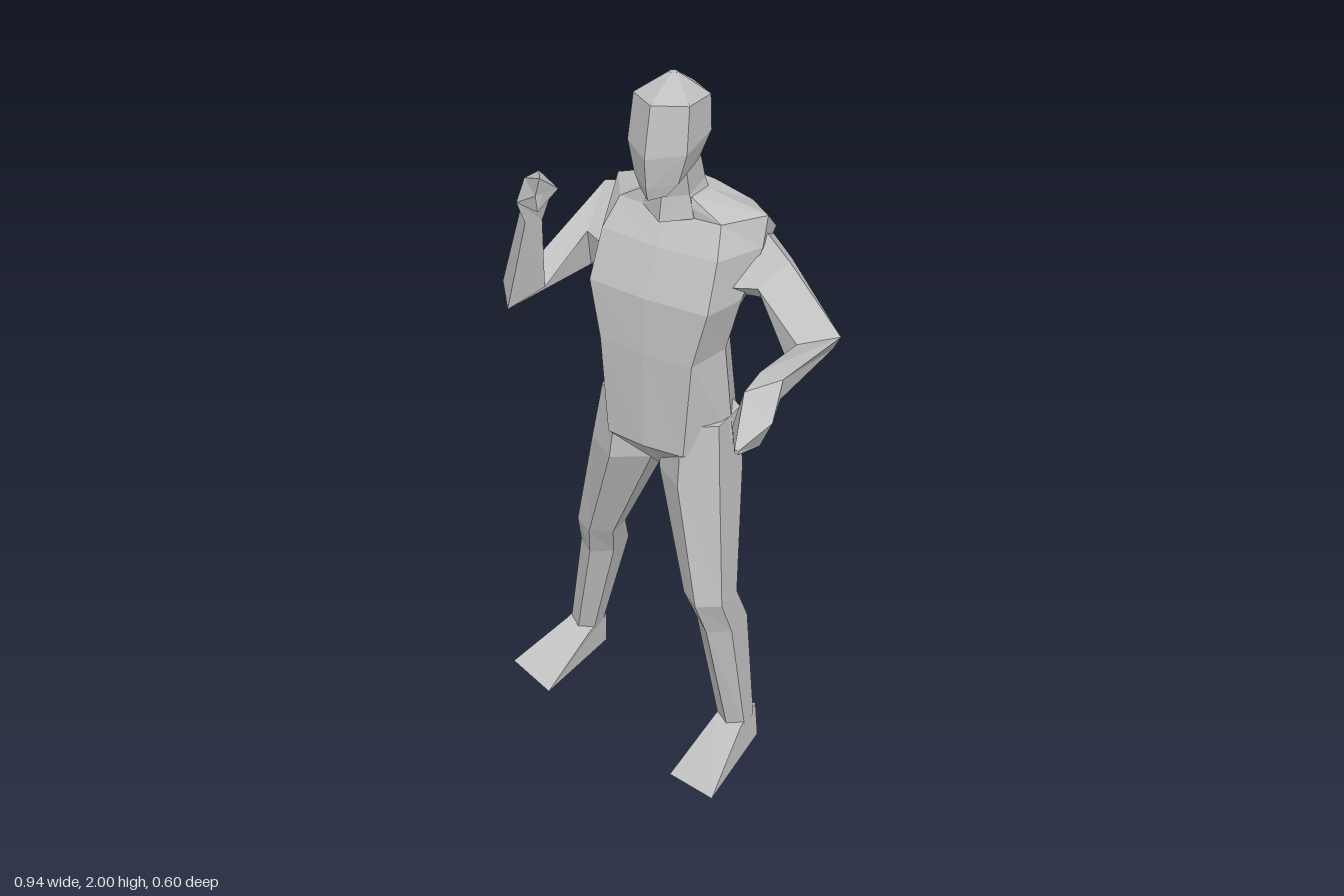
import * as THREE from 'three';

const skin = new THREE.MeshStandardMaterial({ color: 0xbfbfbf, flatShading: true });
skin.name = 'plain grey';

// Closed, faceted skin through equal-length rings of [x, y, z] points
function loft(name, rings) {
  const pos = [];
  const n = rings[0].length;
  const tri = (a, b, c) => pos.push(...a, ...b, ...c);
  for (let r = 0; r < rings.length - 1; r++) {
    for (let i = 0; i < n; i++) {
      const j = (i + 1) % n;
      const [a, b, c, d] = [rings[r][i], rings[r][j], rings[r + 1][j], rings[r + 1][i]];
      tri(a, b, c);
      tri(a, c, d);
    }
  }
  const cap = (ring, flip) => {
    const mid = [0, 1, 2].map(k => ring.reduce((s, p) => s + p[k], 0) / n);
    ring.forEach((p, i) => {
      const q = ring[(i + 1) % n];
      if (flip) tri(mid, q, p); else tri(mid, p, q);
    });
  };
  cap(rings[0], true);
  cap(rings[rings.length - 1], false);

  // turn the faces outward whatever the ring direction
  let volume = 0;
  const [a, b, c] = [new THREE.Vector3(), new THREE.Vector3(), new THREE.Vector3()];
  for (let i = 0; i < pos.length; i += 9) {
    volume += a.fromArray(pos, i).dot(b.fromArray(pos, i + 3).cross(c.fromArray(pos, i + 6)));
  }
  if (volume < 0) {
    for (let i = 0; i < pos.length; i += 9) {
      for (let k = 0; k < 3; k++) [pos[i + 3 + k], pos[i + 6 + k]] = [pos[i + 6 + k], pos[i + 3 + k]];
    }
  }
  const geo = new THREE.BufferGeometry();
  geo.setAttribute('position', new THREE.Float32BufferAttribute(pos, 3));
  geo.computeVertexNormals();
  const mesh = new THREE.Mesh(geo, skin);
  mesh.name = name;
  return mesh;
}

// Six-sided ring from its extents, with its own height at front and back
function hexRing(x0, x1, zFront, zBack, yFront, yBack = yFront) {
  return Array.from({ length: 6 }, (_, i) => {
    const t = i * Math.PI / 3;
    const f = (1 + Math.cos(t)) / 2;
    return [
      (x0 + x1) / 2 + (x1 - x0) / 2 * Math.sin(t) / 0.866,
      yBack + (yFront - yBack) * f,
      zBack + (zFront - zBack) * f,
    ];
  });
}

// Eight-sided torso ring: half widths and depths of front, sides and back
function torsoRing(y, wf, zf, ws, zs, wb, zb) {
  return [
    [wf, y, zf], [0, y, zf + 0.01], [-wf, y, zf], [-ws, y, zs],
    [-wb, y, zb], [0, y, zb - 0.01], [wb, y, zb], [ws, y, zs],
  ];
}

export function createModel() {
  const group = new THREE.Group();
  group.name = 'standingFigure';

  group.add(loft('torso', [
    torsoRing(0.95, 0.03, -0.07, 0.05, -0.12, 0.03, -0.19),
    torsoRing(1.04, 0.11, 0, 0.185, -0.12, 0.12, -0.25),
    torsoRing(1.31, 0.13, 0, 0.155, -0.12, 0.11, -0.215),
    torsoRing(1.46, 0.165, -0.01, 0.195, -0.12, 0.165, -0.255),
    torsoRing(1.58, 0.16, -0.06, 0.215, -0.18, 0.19, -0.29),
    torsoRing(1.65, 0.14, -0.11, 0.21, -0.21, 0.14, -0.26),
    torsoRing(1.70, 0.06, -0.11, 0.075, -0.17, 0.06, -0.22),
  ]));

  group.add(loft('neck', [
    hexRing(-0.07, 0.07, -0.06, -0.23, 1.64, 1.68),
    hexRing(-0.055, 0.055, -0.07, -0.215, 1.70, 1.73),
    hexRing(-0.055, 0.055, -0.06, -0.18, 1.77, 1.82),
  ]));

  group.add(loft('head', [
    hexRing(-0.035, 0.035, -0.01, -0.11, 1.72, 1.76),
    hexRing(-0.06, 0.06, -0.002, -0.18, 1.75, 1.80),
    hexRing(-0.08, 0.08, 0.005, -0.215, 1.83, 1.87),
    hexRing(-0.075, 0.075, -0.02, -0.21, 1.955, 1.945),
    hexRing(-0.01, 0.01, -0.11, -0.13, 2.0),
  ]));

  // Legs: hip, crotch, knee, calf, ankle
  group.add(loft('leftLeg', [
    hexRing(0.02, 0.175, -0.01, -0.22, 1.12),
    hexRing(0.012, 0.19, 0.01, -0.22, 0.95),
    hexRing(0.11, 0.225, 0.025, -0.13, 0.6),
    hexRing(0.127, 0.233, -0.015, -0.18, 0.49),
    hexRing(0.165, 0.25, -0.09, -0.19, 0.12),
  ]));
  group.add(loft('rightLeg', [
    hexRing(-0.175, -0.02, -0.02, -0.235, 1.12),
    hexRing(-0.205, -0.025, -0.01, -0.245, 0.95),
    hexRing(-0.3, -0.185, -0.1, -0.225, 0.6),
    hexRing(-0.322, -0.215, -0.14, -0.295, 0.49),
    hexRing(-0.385, -0.305, -0.185, -0.285, 0.15),
  ]));

  // Feet: sole, then ankle
  group.add(loft('leftFoot', [
    [[0.26, 0, 0.075], [0.115, 0, 0.055], [0.18, 0.03, -0.195], [0.255, 0.03, -0.185]],
    [[0.25, 0.125, -0.095], [0.165, 0.125, -0.095], [0.17, 0.14, -0.185], [0.245, 0.14, -0.185]],
  ]));
  group.add(loft('rightFoot', [
    [[-0.47, 0.075, -0.035], [-0.325, 0.052, 0], [-0.31, 0.05, -0.28], [-0.395, 0.06, -0.288]],
    [[-0.385, 0.165, -0.195], [-0.305, 0.15, -0.185], [-0.305, 0.15, -0.275], [-0.385, 0.165, -0.28]],
  ]));

  // Left arm: shoulder, upper arm, elbow, wrist; held forward
  const leftWrist = [[0.435, 1.445, 0.11], [0.375, 1.445, 0.11], [0.38, 1.39, 0.11], [0.43, 1.39, 0.11]];
  group.add(loft('leftArm', [
    [[0.17, 1.64, -0.21], [0.15, 1.5, -0.08], [0.16, 1.44, -0.17], [0.17, 1.57, -0.29]],
    [[0.27, 1.54, -0.215], [0.235, 1.5, -0.125], [0.22, 1.45, -0.17], [0.25, 1.52, -0.265]],
    [[0.445, 1.42, -0.155], [0.365, 1.41, -0.085], [0.36, 1.31, -0.09], [0.405, 1.35, -0.2]],
    leftWrist,
  ]));
  group.add(loft('leftHand', [
    leftWrist,
    [[0.465, 1.395, 0.21], [0.385, 1.445, 0.2], [0.363, 1.35, 0.21], [0.43, 1.315, 0.2]],
    [[0.43, 1.36, 0.3], [0.42, 1.362, 0.3], [0.42, 1.352, 0.3], [0.43, 1.35, 0.3]],
  ]));

  // Right arm: bent sharply upward at the elbow
  const rightWrist = [[-0.27, 1.66, 0.02], [-0.25, 1.63, 0.06], [-0.275, 1.63, 0.095], [-0.31, 1.66, 0.055]];
  group.add(loft('rightArm', [
    [[-0.17, 1.64, -0.21], [-0.15, 1.52, -0.07], [-0.16, 1.43, -0.14], [-0.18, 1.55, -0.28]],
    [[-0.245, 1.62, -0.205], [-0.23, 1.53, -0.1], [-0.24, 1.42, -0.13], [-0.305, 1.46, -0.215]],
    [[-0.32, 1.47, 0], [-0.27, 1.425, 0.03], [-0.345, 1.365, 0.085], [-0.4, 1.4, 0.025]],
    rightWrist,
  ]));
  group.add(loft('rightHand', [
    rightWrist,
    [[-0.265, 1.75, 0.045], [-0.22, 1.70, 0.07], [-0.28, 1.695, 0.12], [-0.29, 1.735, 0.07]],
    [[-0.19, 1.795, 0.15], [-0.187, 1.74, 0.08], [-0.195, 1.71, 0.155], [-0.2, 1.75, 0.155]],
  ]));

  return group;
}
